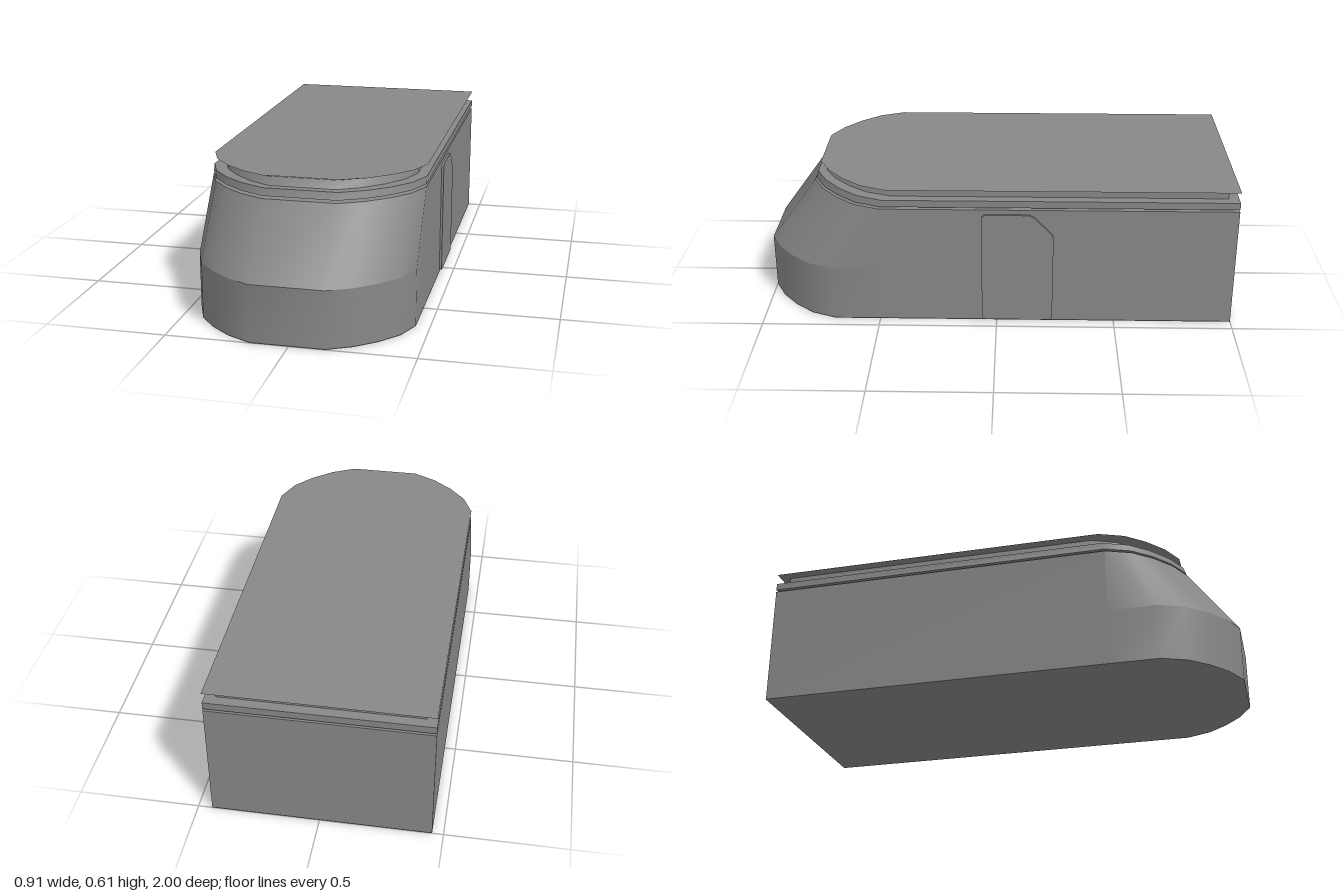
import * as THREE from 'three';
import { toCreasedNormals } from 'three/addons/utils/BufferGeometryUtils.js';

const CX = -0.006, HALF = 0.4485, BACK = -1, NOSE_START = 0.485;
// half of the faceted nose, as [x, z behind the nose tip]
const NOSE = [[HALF, -0.305], [0.405, -0.2], [0.335, -0.119], [0.25, -0.05], [0.15, 0]];

// one horizontal outline: square at the back, faceted nose at the front
function ring(y, front, { inset = 0, drop = 0, back = BACK } = {}) {
  const s = (HALF - inset) / HALF;
  const side = NOSE.map(([x, z]) =>
    new THREE.Vector3(x * s, y - drop * (1 + z / 0.305), front + z));
  side.unshift(new THREE.Vector3(HALF - inset, y, back + inset));
  const mirrored = side.map((p) => new THREE.Vector3(-p.x, p.y, p.z)).reverse();
  return [...side, ...mirrored].map((p) => p.setX(p.x + CX));
}

// closed or open skin through a stack of outlines
function loft(rings, caps = true) {
  const pts = [];
  const n = rings[0].length;
  for (let r = 0; r + 1 < rings.length; r++) {
    for (let i = 0; i < n; i++) {
      const j = (i + 1) % n, lo = rings[r], hi = rings[r + 1];
      pts.push(lo[i], hi[i], lo[j], lo[j], hi[i], hi[j]);
    }
  }
  if (caps) {
    const lo = rings[0], hi = rings[rings.length - 1];
    for (let i = 1; i + 1 < n; i++) {
      pts.push(lo[0], lo[i], lo[i + 1], hi[0], hi[i + 1], hi[i]);
    }
  }
  return toCreasedNormals(new THREE.BufferGeometry().setFromPoints(pts), 0.55);
}

// flat horizontal sheet filling an outline
function plate(outline, y) {
  const shape = new THREE.Shape(outline.map((p) => new THREE.Vector2(p.x, -p.z)));
  return new THREE.ShapeGeometry(shape).rotateX(-Math.PI / 2).translate(0, y, 0);
}

// door outline with rounded corners and one cut corner, u runs towards the back
function doorShape() {
  const u0 = -0.063, u1 = 0.237, y0 = 0.007, y1 = 0.5, r = 0.02;
  const s = new THREE.Shape();
  s.moveTo(u0 + r, y0);
  s.lineTo(u1 - r, y0);
  s.quadraticCurveTo(u1, y0, u1, y0 + r);
  s.lineTo(u1, 0.39);
  s.quadraticCurveTo(u1, 0.405, u1 - 0.012, 0.417);
  s.lineTo(0.16, 0.485);
  s.quadraticCurveTo(0.145, y1, 0.125, y1);
  s.lineTo(u0 + r, y1);
  s.quadraticCurveTo(u0, y1, u0, y1 - r);
  s.lineTo(u0, y0 + r);
  s.quadraticCurveTo(u0, y0, u0 + r, y0);
  return s;
}

export function createModel() {
  const group = new THREE.Group();
  const solid = new THREE.MeshStandardMaterial({ color: 0x888888 });
  const sheet = new THREE.MeshStandardMaterial({ color: 0x888888, side: THREE.DoubleSide });
  const add = (name, geometry, material = solid) => {
    const mesh = new THREE.Mesh(geometry, material);
    mesh.name = name;
    group.add(mesh);
    return mesh;
  };

  // square hull behind the nose, on one continuous floor
  const length = NOSE_START - BACK;
  const hull = add('hull', new THREE.BoxGeometry(HALF * 2, 0.518, length));
  hull.position.set(CX, 0.261, BACK + length / 2);
  add('floor', plate(ring(0, 1), 0), sheet);

  // nose: upright base, then a slope back to the deck
  const back = NOSE_START;
  add('noseBase', loft([ring(0.002, 1, { back }), ring(0.24, 1, { back })]));
  add('noseSlope', loft([ring(0.24, 1, { back }), ring(0.52, 0.795, { back })]));

  // recessed groove below the trim band
  const inset = 0.043;
  const grooveTop = ring(0.53, 0.755, { inset, drop: 0.008 });
  add('groove', loft([ring(0.515, 0.755, { inset }), grooveTop], false));

  // trim band around the deck, its underside dipping at the nose
  add('trimBand', loft([grooveTop, ring(0.53, 0.79), ring(0.56, 0.78)]));

  // recessed neck, its top dipping slightly at the nose
  const neckTop = ring(0.605, 0.725, { inset, drop: 0.012 });
  add('neck', loft([ring(0.56, 0.745, { inset }), neckTop], false));

  // thin roof sheet and its flared underside
  const edge = ring(0.605, 0.765);
  add('roofUnderside', loft([neckTop, edge], false), sheet);
  add('roof', plate(edge, 0.606), sheet);

  // door panel on the left wall
  const door = add('door', new THREE.ExtrudeGeometry(doorShape(),
    { depth: 0.02, bevelEnabled: false, curveSegments: 5 }));
  door.rotation.y = Math.PI / 2;
  door.position.x = 0.432;

  return group;
}
